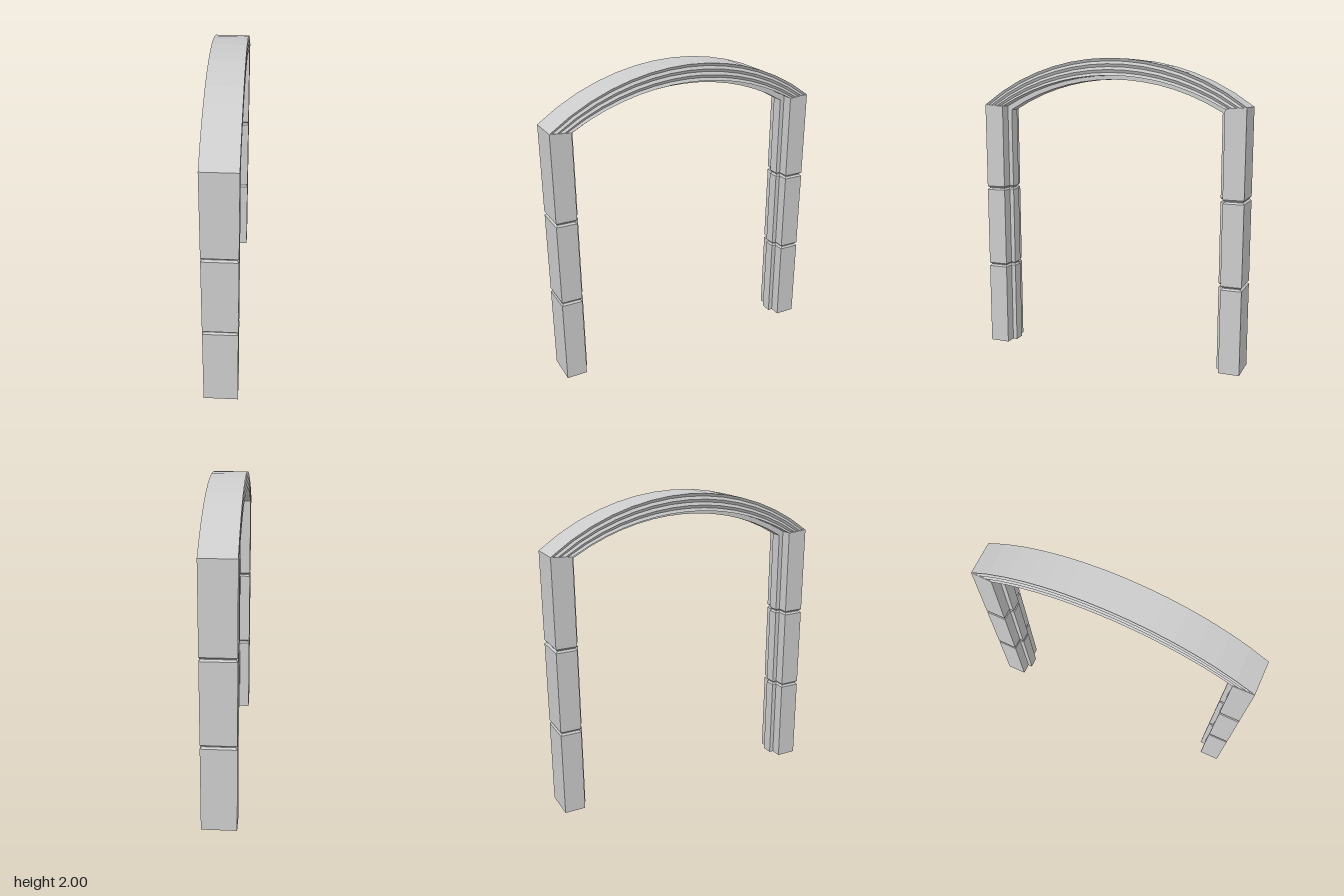
import * as THREE from 'three';

const W = 0.11, RIB = 0.037;                    // half width, half width of the inner rib
const OUT = 0.91, MID = 0.775, INN = 0.745;     // outer face, inner face, rib face

// Skins a list of equal rings of points; caps (triangle list) close both ends.
function loft(rings, caps) {
  const pos = [];
  const put = (...pts) => pts.forEach((p) => pos.push(...p));
  const n = rings[0].length;
  for (let i = 0; i < rings.length - 1; i++) {
    for (let j = 0; j < n; j++) {
      const k = (j + 1) % n;
      const a = rings[i][j], b = rings[i][k], c = rings[i + 1][k], d = rings[i + 1][j];
      put(a, b, c, a, c, d);
    }
  }
  if (caps) {
    const first = rings[0], last = rings[rings.length - 1];
    for (const [a, b, c] of caps) {
      put(first[a], first[c], first[b], last[a], last[b], last[c]);
    }
  }
  const g = new THREE.BufferGeometry();
  g.setAttribute('position', new THREE.Float32BufferAttribute(pos, 3));
  g.computeVertexNormals();
  return g;
}

// T-shaped plan of a pillar, shrunk by an inset
function plan(e) {
  const w = W - e, r = RIB - e, o = OUT - e, m = MID + e, i = INN + e;
  return [[-w, o], [w, o], [w, m], [r, m], [r, i], [-r, i], [-r, m], [-w, m]];
}

// Pillar of three stacked blocks with bevelled joints and a sloping top
function pillarGeometry() {
  const levels = [[0, 0], [0.553, 0], [0.564, 0.011], [0.567, 0.011], [0.577, 0],
    [1.104, 0], [1.115, 0.011], [1.118, 0.011], [1.129, 0]];
  const rings = levels.map(([y, e]) => plan(e).map(([x, z]) => [x, y, z]));
  const topY = (z) => (z === OUT ? 1.695 : z === MID ? 1.685 : 1.66);
  rings.push(plan(0).map(([x, z]) => [x, topY(z), z]));
  const contour = plan(0).map(([x, z]) => new THREE.Vector2(x, -z));
  return loft(rings, THREE.ShapeUtils.triangulateShape(contour, []));
}

// Circular arc from springing (half, y0) to crown; t runs -1..1 across the span
function arc(half, y0, crown) {
  const s = crown - y0, R = (half * half + s * s) / (2 * s);
  return (t) => [crown - R + Math.sqrt(R * R - (half * t) ** 2), half * t];
}

// Arch: grooved sides, flat outer face, raised rib below
function archGeometry() {
  const arcs = [arc(OUT, 1.695, 2), arc(MID, 1.685, 1.89), arc(INN, 1.66, 1.864)];
  const side = [];
  for (let k = 0; k <= 6; k++) side.push([k % 2 ? W - 0.01 : W, k / 6]);
  side.push([RIB, 1], [RIB, 2]);
  const section = [...side, ...side.map(([x, v]) => [-x, v]).reverse()];
  const rings = [];
  const N = 14;
  for (let i = 0; i <= N; i++) {
    const t = 1 - (2 * i) / N;
    rings.push(section.map(([x, v]) => {
      const a = Math.min(1, Math.floor(v));
      const [y0, z0] = arcs[a](t), [y1, z1] = arcs[a + 1](t), f = v - a;
      return [x, y0 + (y1 - y0) * f, z0 + (z1 - z0) * f];
    }));
  }
  return loft(rings);
}

export function createModel() {
  const group = new THREE.Group();
  group.name = 'archway';
  const material = new THREE.MeshStandardMaterial({ color: 0xcccccc, flatShading: true });

  // Two pillars facing each other
  const pillar = pillarGeometry();
  ['frontPillar', 'backPillar'].forEach((name, i) => {
    const mesh = new THREE.Mesh(pillar, material);
    mesh.name = name;
    mesh.rotation.y = i * Math.PI;
    group.add(mesh);
  });

  const arch = new THREE.Mesh(archGeometry(), material);
  arch.name = 'arch';
  group.add(arch);
  return group;
}
